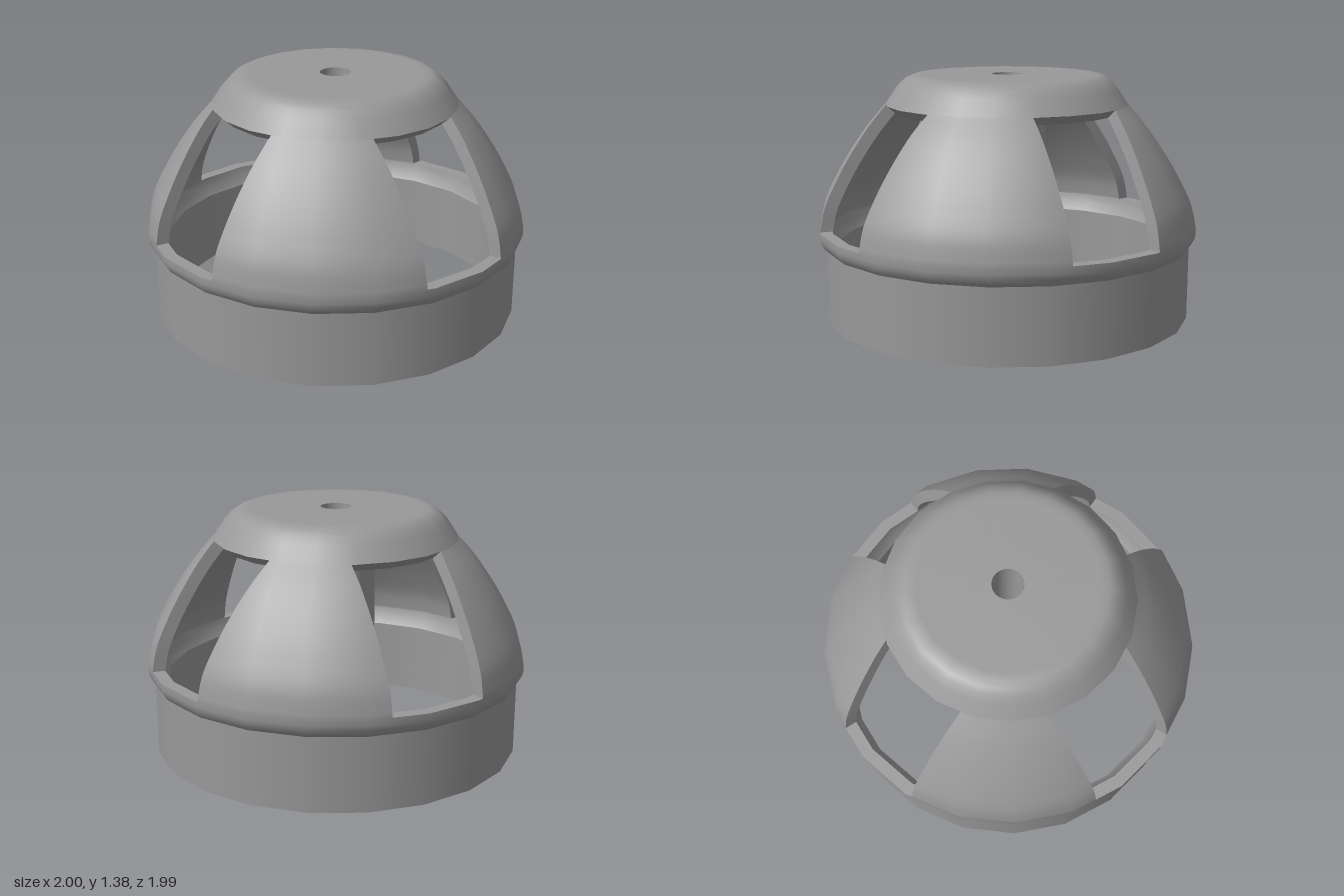
import * as THREE from 'three';

const SIDES = 21, STEP = 2 * Math.PI / SIDES, WALL = 0.065, FLARE = 0.013;
const material = new THREE.MeshStandardMaterial({ color: 0x999999, side: THREE.DoubleSide });
const v2 = (p) => new THREE.Vector2(p[0], p[1]);

// Each run is a smooth stretch of the profile; edges between runs stay sharp
function turned(name, runs, sides = SIDES) {
  const group = new THREE.Group();
  group.name = name;
  for (const run of runs) {
    const mesh = new THREE.Mesh(new THREE.LatheGeometry(run.map(v2), sides, Math.PI), material);
    mesh.name = name + 'Surface';
    group.add(mesh);
  }
  return group;
}

// Surface through rows of points, with optional smooth normals
function grid(rows, normals) {
  const n = rows[0].length, index = [];
  for (let j = 0; j < rows.length - 1; j++) {
    for (let i = 0; i < n - 1; i++) {
      const a = j * n + i, b = a + 1, c = a + n, d = c + 1;
      index.push(a, b, d, a, d, c);
    }
  }
  const g = new THREE.BufferGeometry();
  g.setAttribute('position', new THREE.Float32BufferAttribute(rows.flat(2), 3));
  g.setIndex(index);
  if (normals) g.setAttribute('normal', new THREE.Float32BufferAttribute(normals.flat(2), 3));
  else g.computeVertexNormals();
  return g;
}

// Point on the many-sided ring of radius r at angle phi
function polyRadius(r, phi) {
  const d = (((phi - Math.PI) % STEP) + STEP) % STEP;
  return r * Math.cos(STEP / 2) / Math.cos(d - STEP / 2);
}
function ringPoint(r, y, phi) {
  const p = polyRadius(r, phi);
  return [p * Math.sin(phi), y, p * Math.cos(phi)];
}

// Angle at which a straight slot side (offset t from slot direction a) meets the ring
function slotAngle(a, t, r) {
  let phi = a;
  for (let i = 0; i < 12; i++) phi = a + Math.asin(t / polyRadius(r, phi));
  return phi;
}

// Dome profile with its inner offset
const domeCurve = new THREE.SplineCurve(
  [[1.002, 0.58], [0.975, 0.706], [0.912, 0.84], [0.834, 0.973], [0.738, 1.11], [0.639, 1.225]].map(v2));
const profile = [];
for (let i = 0; i <= 20; i++) {
  const p = domeCurve.getPoint(i / 20), t = domeCurve.getTangent(i / 20);
  if (i === 0) t.set(0, 1);
  profile.push({
    out: [p.x, p.y], n: [t.y, -t.x],
    inn: [p.x - t.y * WALL, p.y + t.x * WALL],
  });
}

// Curved rib between two neighbouring slots, whose sides flare slightly outwards
function rib(a0, t0, a1, t1) {
  const lattice = [];
  for (let k = -SIDES; k <= SIDES; k++) {
    const phi = Math.PI + k * STEP;
    if (phi > a0 && phi < a1) lattice.push(phi);
  }
  const skin = (key, sign, inset) => {
    const rows = [], normals = [];
    for (const s of profile) {
      const [r, y] = s[key];
      const lo = slotAngle(a0, t0 - inset, r), hi = slotAngle(a1, t1 + inset, r);
      const angles = [lo, ...lattice.map((p) => Math.min(hi, Math.max(lo, p))), hi];
      if (sign < 0) angles.reverse();
      rows.push(angles.map((p) => ringPoint(r, y, p)));
      normals.push(angles.map((p) =>
        [sign * s.n[0] * Math.sin(p), sign * s.n[1], sign * s.n[0] * Math.cos(p)]));
    }
    return { rows, normals };
  };
  const outer = skin('out', 1, 0), inner = skin('inn', -1, FLARE);
  const endWall = outer.rows.map((row, j) => [row[row.length - 1], inner.rows[j][0]]);
  const startWall = inner.rows.map((row, j) => [row[row.length - 1], outer.rows[j][0]]);
  const group = new THREE.Group();
  group.name = 'rib';
  const add = (name, g) => {
    const mesh = new THREE.Mesh(g, material);
    mesh.name = name;
    group.add(mesh);
  };
  add('ribOuter', grid(outer.rows, outer.normals));
  add('ribInner', grid(inner.rows, inner.normals));
  add('ribEndWall', grid(endWall));
  add('ribStartWall', grid(startWall));
  return group;
}

export function createModel() {
  const model = new THREE.Group();
  model.name = 'slottedHousing';

  // Base ring with its overhanging rim
  model.add(turned('baseRing', [
    [[0.966, 0.097], [0.968, 0.485]],
    [[0.968, 0.485], [0.982, 0.5], [0.996, 0.525], [1.002, 0.55], [1.002, 0.58]],
    [[1.002, 0.58], [0.937, 0.58]],
    [[0.937, 0.58], [0.927, 0.53], [0.899, 0.485]],
    [[0.899, 0.485], [0.897, 0.097]],
    [[0.897, 0.097], [0.966, 0.097]],
  ]));

  // Four ribs; slot sides are listed front, left, back, right
  const slots = [[-0.297, 0.217], [-0.263, 0.252], [-0.197, 0.312], [-0.255, 0.26]];
  for (let q = 0; q < 4; q++) {
    model.add(rib(q * Math.PI / 2, slots[q][1], (q + 1) * Math.PI / 2, slots[(q + 1) % 4][0]));
  }

  // Cap with rounded shoulder
  const lip = profile[profile.length - 1].inn;
  model.add(turned('cap', [
    [[0.639, 1.225], [0.585, 1.307], [0.553, 1.342], [0.525, 1.364], [0.495, 1.376], [0.45, 1.38], [0.08, 1.38]],
    [[0.08, 1.315], [0.44, 1.315], [0.49, 1.3], lip],
    [lip, [0.639, 1.225]],
  ]));

  // Central shaft, and the bore running through shaft and cap
  model.add(turned('shaft', [
    [[0.205, 0], [0.205, 1.16]],
    [[0.205, 1.16], [0.08, 1.16]],
    [[0.08, 0], [0.205, 0]],
  ], 40));
  model.add(turned('bore', [[[0.08, 1.38], [0.08, 0]]], 32));

  return model;
}
